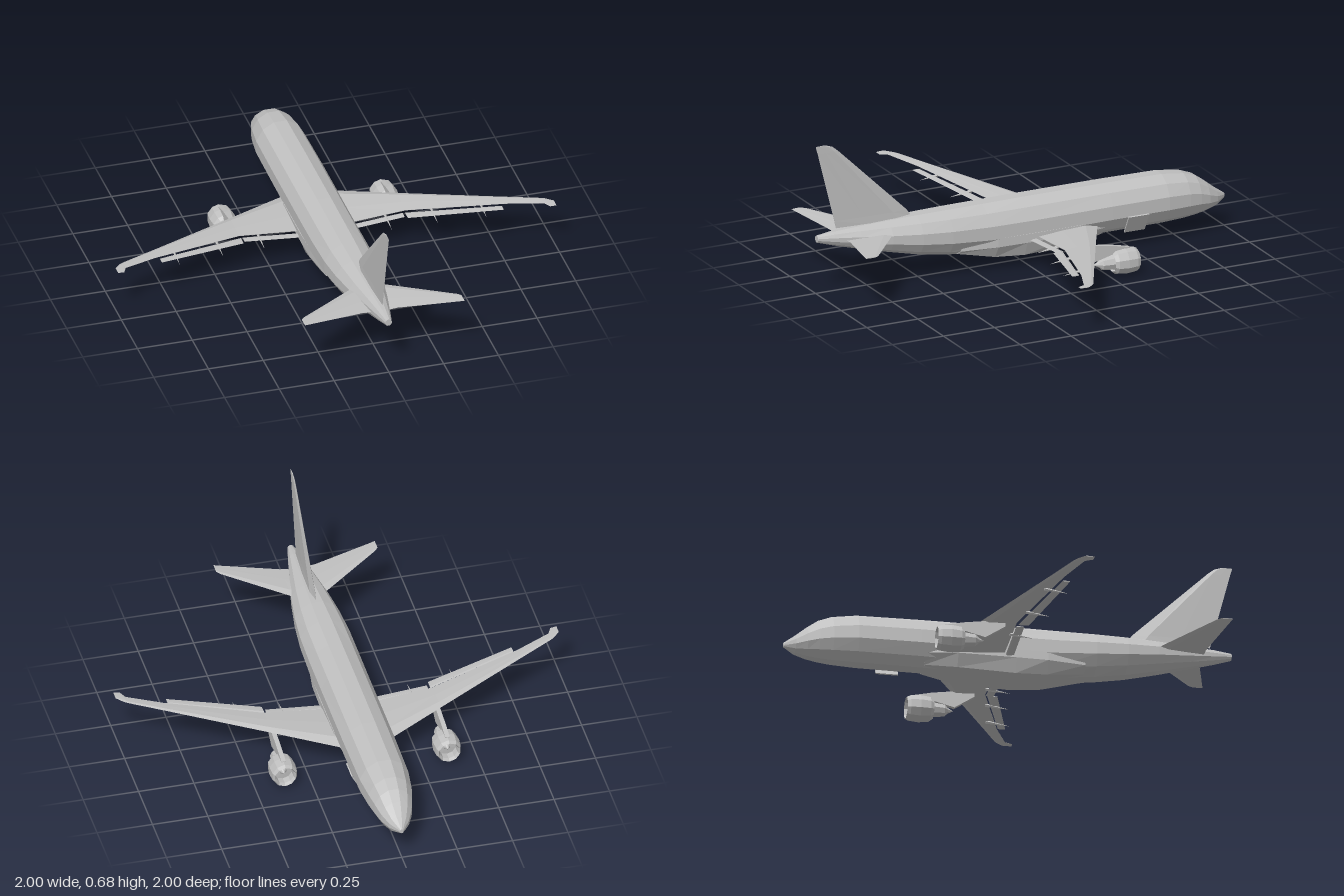
import * as THREE from 'three';

const paint = new THREE.MeshStandardMaterial({ color: 0xc0c0c0, flatShading: true, side: THREE.DoubleSide });
paint.name = 'light grey paint';

// Skin between equal-length rings of [x, y, z] points, with both ends capped
function loft(rings) {
  const n = rings[0].length;
  const pos = rings.flat(2);
  const idx = [];
  for (let r = 0; r < rings.length - 1; r++) {
    for (let i = 0; i < n; i++) {
      const a = r * n + i, b = r * n + (i + 1) % n;
      idx.push(a, b, b + n, a, b + n, a + n);
    }
  }
  const last = (rings.length - 1) * n;
  for (let i = 1; i < n - 1; i++) idx.push(0, i + 1, i, last, last + i, last + i + 1);
  // Turn the faces outward if the signed volume is negative
  const p = (i) => new THREE.Vector3().fromArray(pos, i * 3);
  let volume = 0;
  for (let i = 0; i < idx.length; i += 3) volume += p(idx[i]).dot(p(idx[i + 1]).cross(p(idx[i + 2])));
  if (volume < 0) idx.reverse();
  const g = new THREE.BufferGeometry();
  g.setAttribute('position', new THREE.Float32BufferAttribute(pos, 3));
  g.setIndex(idx);
  g.computeVertexNormals();
  return g;
}

function add(parent, name, geometry) {
  const m = new THREE.Mesh(geometry, paint);
  m.name = name;
  parent.add(m);
  return m;
}

// Faceted aerofoil outline as [chord fraction, thickness fraction]
const FOIL = [[0, 0], [0.2, 0.5], [0.6, 0.35], [1, 0.04], [1, -0.04], [0.6, -0.3], [0.2, -0.5]];

// Each station: [x, y, leading z, trailing z, thickness]
const surface = (stations, s) => loft(stations.map(([x, y, a, b, t]) =>
  FOIL.map(([c, h]) => [s * x, y + h * t, a + (b - a) * c])));

const wingY = (x) => 0.142 + 0.08 * (x - 0.1) / 0.9;

function createEngine(s) {
  const engine = new THREE.Group();
  engine.name = s > 0 ? 'leftEngine' : 'rightEngine';
  const lathe = (pts, sides) => new THREE.LatheGeometry(pts.map((q) => new THREE.Vector2(...q)), sides)
    .rotateX(-Math.PI / 2);
  // Hollow cowling; profile is [radius, forward distance]
  add(engine, 'cowling', lathe([[0.044, -0.06], [0.056, -0.045], [0.061, 0], [0.057, 0.045], [0.049, 0.06],
    [0.042, 0.045], [0.042, -0.05], [0.044, -0.06]], 10));
  add(engine, 'fan', lathe([[0.043, 0.01], [0.016, 0.012], [0, 0.035]], 10));
  add(engine, 'core', lathe([[0, -0.15], [0.014, -0.125], [0.028, -0.11], [0.036, -0.05], [0.036, 0.005]], 8));
  engine.position.set(s * 0.37, 0.07, -0.325);
  return engine;
}

export function createModel() {
  const plane = new THREE.Group();
  plane.name = 'airliner';

  // Fuselage stations: [z, half width, bottom y, top y]
  const body = [
    [-1, 0.008, 0.14, 0.16], [-0.95, 0.045, 0.112, 0.195], [-0.9, 0.07, 0.098, 0.235],
    [-0.85, 0.085, 0.09, 0.27], [-0.79, 0.098, 0.084, 0.292], [-0.68, 0.111, 0.08, 0.307],
    [-0.4, 0.114, 0.079, 0.31], [0, 0.114, 0.072, 0.31], [0.2, 0.114, 0.08, 0.308],
    [0.38, 0.112, 0.1, 0.307], [0.52, 0.102, 0.123, 0.305], [0.66, 0.083, 0.155, 0.3],
    [0.8, 0.055, 0.19, 0.293], [0.92, 0.031, 0.222, 0.285], [0.995, 0.015, 0.245, 0.276],
  ];
  add(plane, 'fuselage', loft(body.map(([z, w, lo, hi]) => Array.from({ length: 12 }, (_, i) => {
    const a = (i + 0.5) * Math.PI / 6;
    return [w * 1.03 * Math.sin(a), (lo + hi) / 2 + (hi - lo) / 2 * 1.03 * Math.cos(a), z];
  }))));

  // Wing-root fairing under the belly: [z, top half width, bottom half width, bottom y]
  const belly = [[-0.38, 0.09, 0.05, 0.085], [-0.24, 0.116, 0.085, 0.07], [0.02, 0.116, 0.09, 0.061],
    [0.16, 0.113, 0.08, 0.07], [0.33, 0.09, 0.045, 0.1]];
  add(plane, 'bellyFairing', loft(belly.map(([z, w, b, y]) =>
    [[-w, 0.165, z], [w, 0.165, z], [w, 0.125, z], [b, y, z], [-b, y, z], [-w, 0.125, z]])));

  // Cargo door low on the left side
  const door = add(plane, 'cargoDoor', new THREE.BoxGeometry(0.006, 0.095, 0.1));
  door.position.set(0.095, 0.124, -0.525);
  door.rotation.z = -0.5;

  // Fin sections along its height: [y, leading z, trailing z, thickness]
  const fin = [[0.296, 0.53, 0.9, 0.026], [0.33, 0.555, 0.908, 0.022], [0.655, 0.89, 0.99, 0.008],
    [0.678, 0.918, 0.997, 0.006], [0.689, 0.95, 0.999, 0.004]];
  add(plane, 'fin', loft(fin.map(([y, a, b, t]) => FOIL.map(([c, h]) => [h * t, y, a + (b - a) * c]))));

  for (const s of [1, -1]) {
    const side = s > 0 ? 'left' : 'right';
    add(plane, side + 'Wing', surface([
      [0.06, 0.139, -0.35, -0.035, 0.036], [0.12, 0.144, -0.32, -0.035, 0.032],
      [0.38, wingY(0.38), -0.182, -0.03, 0.02], [0.8, wingY(0.8), 0.038, 0.1, 0.009],
      [0.955, wingY(0.955), 0.118, 0.165, 0.006], [0.972, wingY(0.972), 0.13, 0.2, 0.005],
      [1, 0.222, 0.16, 0.203, 0.003]], s));

    // Flaps set slightly behind and below the trailing edge
    add(plane, side + 'InnerFlap', surface([
      [0.11, 0.134, -0.03, 0.006, 0.008], [0.365, 0.156, -0.03, 0.006, 0.006]], s));
    add(plane, side + 'OuterFlap', surface([
      [0.375, 0.16, -0.022, 0.024, 0.006], [0.78, 0.197, 0.1, 0.134, 0.004]], s));

    // Pointed flap-track fairings
    for (const [x, z] of [[0.29, 0.065], [0.49, 0.1], [0.7, 0.142]]) {
      const track = add(plane, side + 'FlapTrack', new THREE.ConeGeometry(0.009, 0.11, 4).rotateX(Math.PI / 2));
      track.scale.x = 0.7;
      track.position.set(s * x, wingY(x) - 0.014, z - 0.055);
      track.rotation.x = 0.12;
    }

    // Engine and its pylon
    plane.add(createEngine(s));
    const pylon = [[-0.35, 0.122, 0.13], [-0.27, 0.11, 0.148], [-0.17, 0.085, 0.163], [-0.08, 0.145, 0.16]];
    add(plane, side + 'Pylon', loft(pylon.map(([z, lo, hi]) =>
      [[-1, lo], [1, lo], [1, hi], [-1, hi]].map(([k, y]) => [s * 0.37 + k * 0.01, y, z]))));

    add(plane, side + 'Tailplane', surface([
      [0.02, 0.243, 0.63, 0.865, 0.018], [0.08, 0.249, 0.665, 0.868, 0.015],
      [0.35, 0.273, 0.868, 0.932, 0.006], [0.364, 0.275, 0.885, 0.936, 0.004]], s));
  }
  return plane;
}
